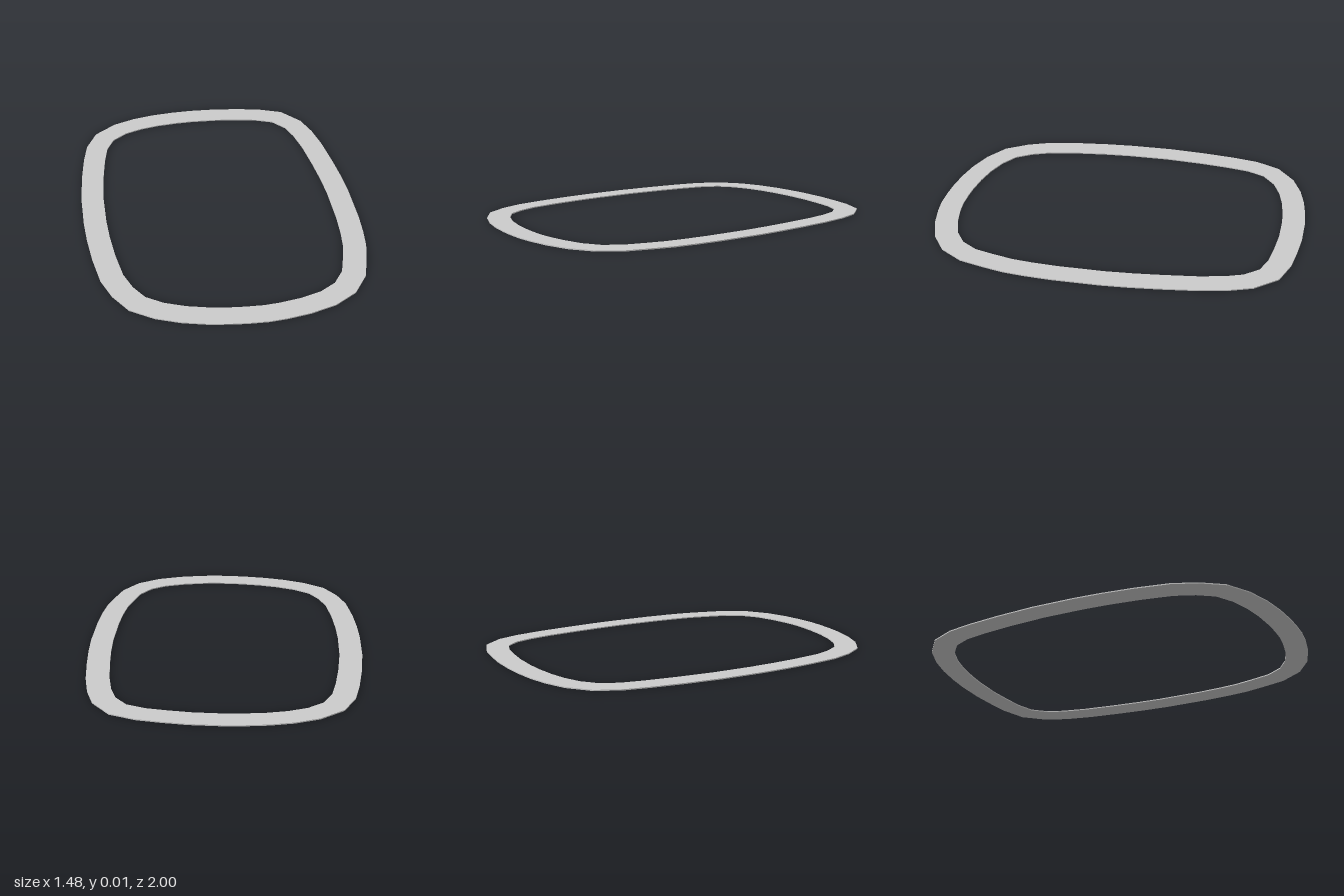
import * as THREE from 'three';

const WIDTH = 0.122;
const THICKNESS = 0.006;

// Outer outline as x, z pairs, running from the back centre around the +x side
const OUTLINE = [
  0, -1, 0.16, -0.99, 0.29, -0.97, 0.415, -0.945, 0.55, -0.89,
  0.645, -0.77, 0.685, -0.645, 0.71, -0.5, 0.727, -0.315, 0.737, -0.16,
  0.741, -0.01, 0.733, 0.24, 0.721, 0.38, 0.705, 0.495, 0.675, 0.61,
  0.635, 0.74, 0.55, 0.86, 0.43, 0.935, 0.295, 0.975, 0.17, 0.994,
  0.08, 1, -0.02, 0.995, -0.1, 0.987, -0.22, 0.967, -0.34, 0.935,
  -0.465, 0.883, -0.583, 0.8, -0.655, 0.68, -0.7, 0.55, -0.725, 0.37,
  -0.738, 0.2, -0.742, 0.05, -0.736, -0.18, -0.715, -0.39, -0.69, -0.56,
  -0.66, -0.7, -0.595, -0.83, -0.475, -0.92, -0.35, -0.965, -0.23, -0.988,
  -0.11, -0.998,
];

// Moves each corner inward along its mitre so the band keeps a constant width
function inset(points, distance) {
  const n = points.length;
  const inward = (a, b) => new THREE.Vector2(b.y - a.y, a.x - b.x).normalize();
  return points.map((p, i) => {
    const n1 = inward(points[(i + n - 1) % n], p);
    const n2 = inward(p, points[(i + 1) % n]);
    const mitre = n1.clone().add(n2).normalize();
    return p.clone().addScaledVector(mitre, distance / mitre.dot(n1));
  });
}

export function createModel() {
  const outer = [];
  for (let i = 0; i < OUTLINE.length; i += 2) {
    outer.push(new THREE.Vector2(OUTLINE[i], -OUTLINE[i + 1]));
  }

  // Flat band: outline with an inset hole, wound the other way so its wall faces the opening
  const shape = new THREE.Shape(outer);
  shape.holes.push(new THREE.Path(inset(outer, WIDTH).reverse()));
  const geometry = new THREE.ExtrudeGeometry(shape, { depth: THICKNESS, bevelEnabled: false });
  geometry.rotateX(-Math.PI / 2);

  const ring = new THREE.Mesh(
    geometry,
    new THREE.MeshStandardMaterial({ color: 0xcccccc, flatShading: true }),
  );
  ring.name = 'flatRing';

  const group = new THREE.Group();
  group.name = 'roundedFrame';
  group.add(ring);
  return group;
}
